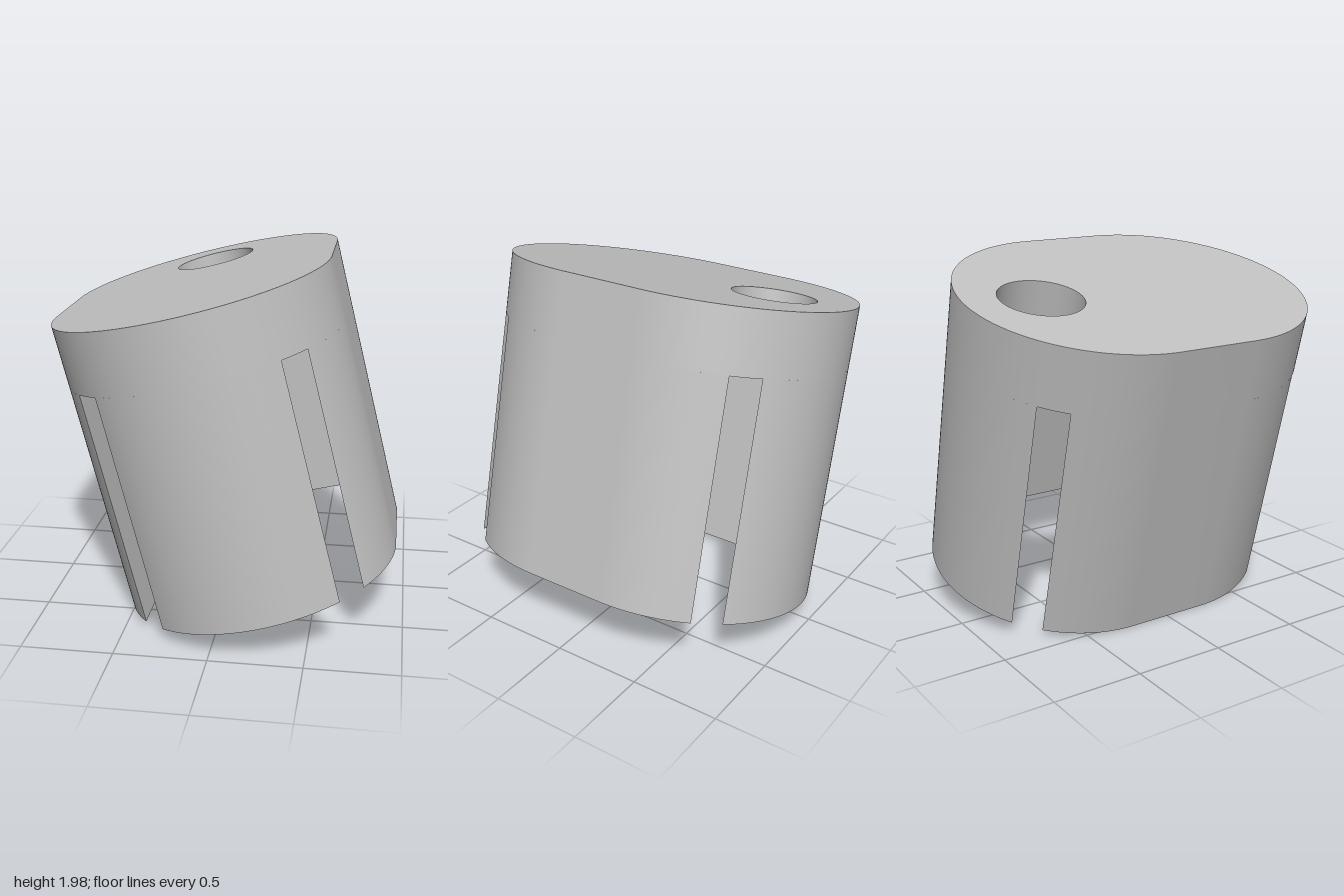
import * as THREE from 'three';
import { toCreasedNormals } from 'three/addons/utils/BufferGeometryUtils.js';

const R = 0.768, OFF = 0.232;          // stadium plan: end radius and centre offset
const HALF = 0.831, CEILING = 0.487;   // half height and underside of the cap
const CUT_X = 0.602, CUT_Z = 0.83;     // half sizes of the rectangular cavity
const TILT = THREE.MathUtils.degToRad(14);

const grey = new THREE.MeshStandardMaterial({ color: 0xc0c0c0 });
grey.name = 'grey';

// Extrude a plan shape upward from y0 to y1
function upright(name, shape, y0, y1) {
  let g = new THREE.ExtrudeGeometry(shape, { depth: y1 - y0, bevelEnabled: false, curveSegments: 48 });
  g.rotateX(-Math.PI / 2);
  g.translate(0, y0, 0);
  g = toCreasedNormals(g, 0.5);
  const mesh = new THREE.Mesh(g, grey);
  mesh.name = name;
  return mesh;
}

export function createModel() {
  const model = new THREE.Group();
  model.name = 'slottedBlock';
  const body = new THREE.Group();
  body.name = 'tiltedBody';
  model.add(body);

  // Cap with a round through hole
  const cap = new THREE.Shape();
  cap.absarc(0, OFF, R, 0, Math.PI, false);
  cap.absarc(0, -OFF, R, Math.PI, Math.PI * 2, false);
  cap.closePath();
  const hole = new THREE.Path();
  hole.absarc(0, 0.575, 0.23, 0, Math.PI * 2, true);
  cap.holes.push(hole);
  body.add(upright('cap', cap, CEILING, HALF));

  // Front and back legs: end segments beyond the cavity
  const a = Math.asin((CUT_Z - OFF) / R);
  const endLeg = new THREE.Shape();
  endLeg.absarc(0, OFF, R, a, Math.PI - a, false);
  endLeg.closePath();

  // Side legs: flat middle with a rounded corner at each end
  const b = Math.acos(CUT_X / R);
  const sideLeg = new THREE.Shape();
  sideLeg.absarc(0, -OFF, R, -b, 0, false);
  sideLeg.absarc(0, OFF, R, 0, b, false);
  sideLeg.closePath();

  for (const [front, side, turn] of [['backLeg', 'leftLeg', 0], ['frontLeg', 'rightLeg', Math.PI]]) {
    for (const [name, shape] of [[front, endLeg], [side, sideLeg]]) {
      const leg = upright(name, shape, -HALF, CEILING);
      leg.rotation.y = turn;
      body.add(leg);
    }
  }

  // Lean the body and rest its lowest edge on the ground
  body.rotation.z = TILT;
  body.position.y = R * Math.sin(TILT) + HALF * Math.cos(TILT);
  return model;
}
